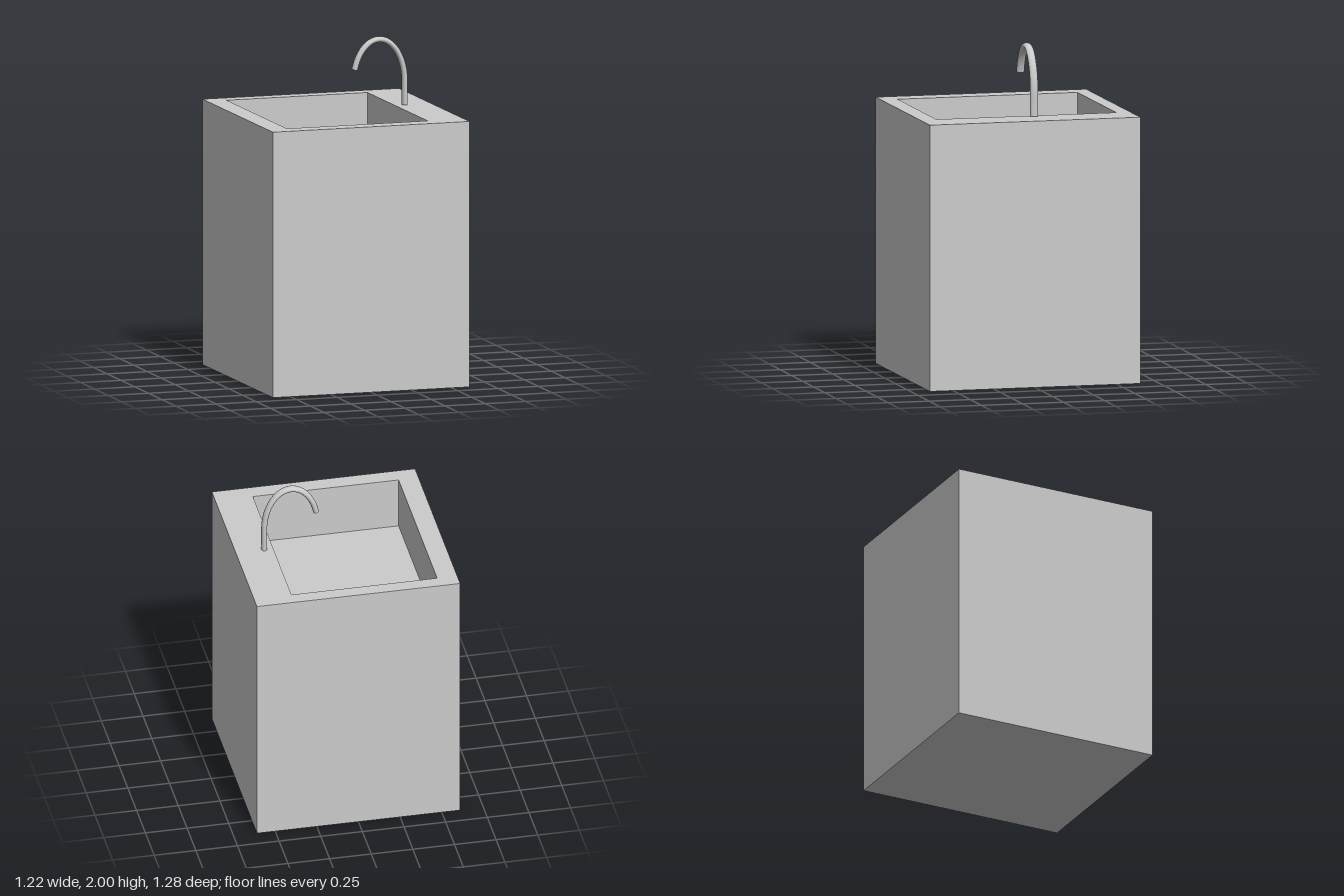
import * as THREE from 'three';

const W = 1.22, H = 1.58, D = 1.28;                                  // cabinet size
const basin = { x0: -0.49, x1: 0.385, z0: -0.555, z1: 0.54, depth: 0.32 };

const material = new THREE.MeshStandardMaterial({ color: 0xcccccc });

// Box without its top face; inward = true turns the faces to the inside
function openBox(w, h, d, inward) {
  const geometry = new THREE.BoxGeometry(w, h, d);
  const index = Array.from(geometry.index.array);
  index.splice(12, 6);
  if (inward) index.reverse();
  geometry.setIndex(index);
  geometry.computeVertexNormals();
  return geometry;
}

function addMesh(parent, name, geometry, x = 0, y = 0, z = 0) {
  const mesh = new THREE.Mesh(geometry, material);
  mesh.name = name;
  mesh.position.set(x, y, z);
  parent.add(mesh);
  return mesh;
}

// Rectangle outline drawn with y = -z, ready to be laid flat
function rectangle(path, x0, x1, z0, z1) {
  path.moveTo(x0, -z1);
  path.lineTo(x1, -z1);
  path.lineTo(x1, -z0);
  path.lineTo(x0, -z0);
  path.closePath();
  return path;
}

// Gooseneck: straight stem followed by a tall elliptical arch
function createFaucet() {
  const faucet = new THREE.Group();
  faucet.name = 'faucet';
  const radius = 0.017, rx = 0.16, ry = 0.26, cx = 0.28, cy = 1.722;
  const points = [1.585, 1.63, 1.68].map((y) => new THREE.Vector3(cx + rx, y, 0));
  const end = Math.PI - 0.335;
  for (let i = 0; i <= 14; i++) {
    const a = (end * i) / 14;
    points.push(new THREE.Vector3(cx + rx * Math.cos(a), cy + ry * Math.sin(a), 0));
  }
  const curve = new THREE.CatmullRomCurve3(points);
  addMesh(faucet, 'spout', new THREE.TubeGeometry(curve, 40, radius, 16));

  // End caps
  for (const [name, t, sign] of [['stemCap', 0, -1], ['outletCap', 1, 1]]) {
    const cap = addMesh(faucet, name, new THREE.CircleGeometry(radius, 16));
    cap.position.copy(curve.getPoint(t));
    const outward = curve.getTangent(t).multiplyScalar(sign);
    cap.quaternion.setFromUnitVectors(new THREE.Vector3(0, 0, 1), outward);
  }

  // The pipe is wider across than along its bend
  faucet.scale.z = 1.4;
  faucet.position.z = -0.04;
  return faucet;
}

export function createModel() {
  const model = new THREE.Group();
  model.name = 'sinkCabinet';

  // Cabinet sides and base
  addMesh(model, 'cabinet', openBox(W, H, D, false), 0, H / 2, 0);

  // Countertop rim around the basin opening
  const { x0, x1, z0, z1, depth } = basin;
  const rim = rectangle(new THREE.Shape(), -W / 2, W / 2, -D / 2, D / 2);
  rim.holes.push(rectangle(new THREE.Path(), x0, x1, z0, z1));
  addMesh(model, 'countertop', new THREE.ShapeGeometry(rim).rotateX(-Math.PI / 2), 0, H, 0);

  // Sunken basin, seen from inside
  addMesh(model, 'basin', openBox(x1 - x0, depth, z1 - z0, true),
    (x0 + x1) / 2, H - depth / 2, (z0 + z1) / 2);

  model.add(createFaucet());
  return model;
}
